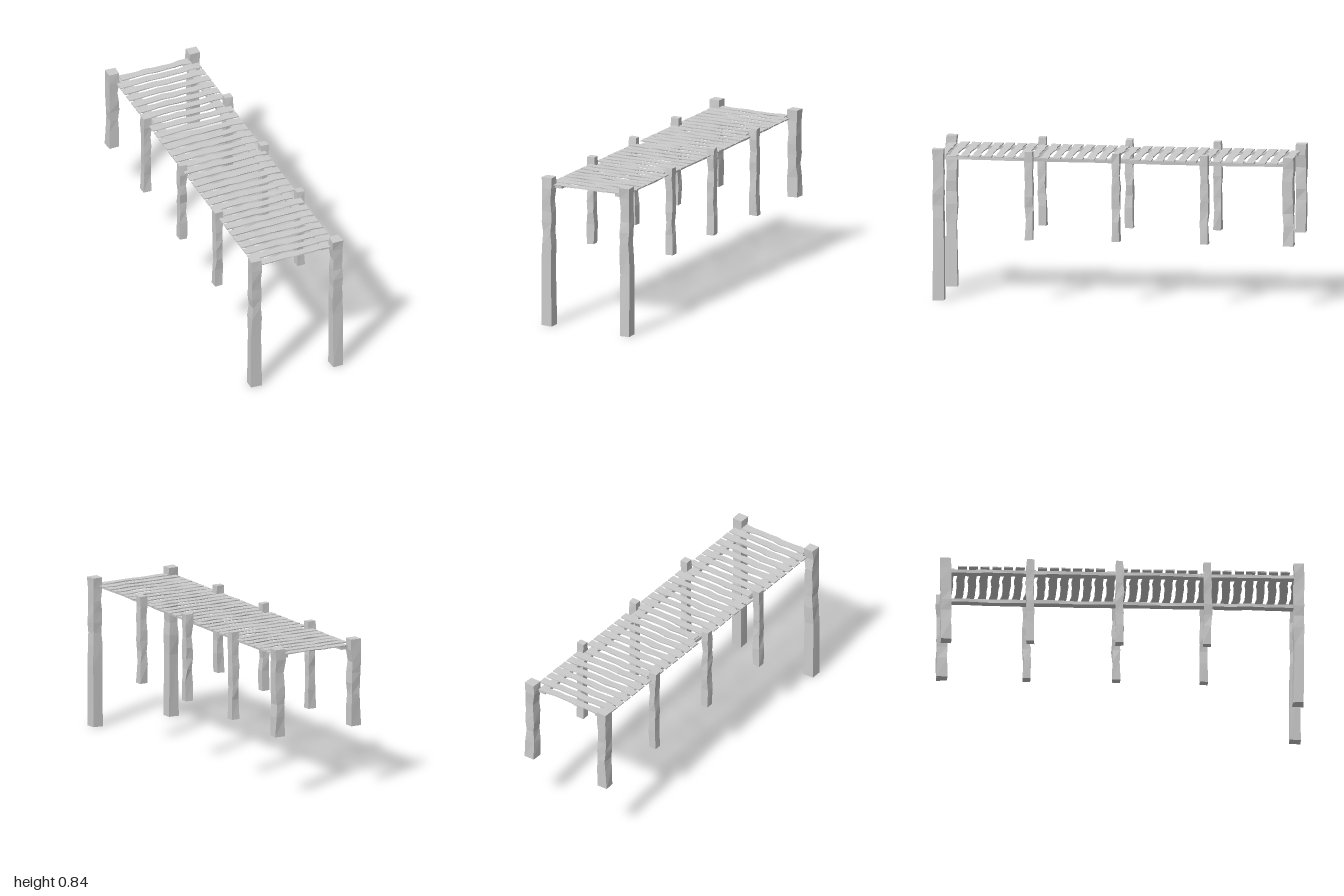
import * as THREE from 'three';

const wood = new THREE.MeshStandardMaterial({ color: 0xcccccc, flatShading: true });

// small repeatable noise in -1..1
function noise(a, b = 0) {
  const s = Math.sin(a * 127.1 + b * 311.7) * 43758.5453;
  return (s - Math.floor(s)) * 2 - 1;
}

// Four-sided hewn bar along 'x', 'y' or 'z'.
// stations: [t, uMin, uMax, vMin, vMax], with u and v the next two axes in cyclic order.
function hewnBar(name, axis, stations, jitter, seed) {
  const a = 'xyz'.indexOf(axis), pos = [], idx = [];
  stations.forEach(([t, u0, u1, v0, v1], i) => {
    [[u0, v0], [u1, v0], [u1, v1], [u0, v1]].forEach(([u, v], k) => {
      const p = [0, 0, 0];
      p[a] = t + noise(seed + i, k) * jitter * 0.5;
      p[(a + 1) % 3] = u + noise(seed + i, k + 10) * jitter;
      p[(a + 2) % 3] = v + noise(seed + i, k + 20) * jitter;
      pos.push(...p);
    });
  });
  const n = stations.length;
  for (let i = 0; i < n - 1; i++) {
    for (let k = 0; k < 4; k++) {
      const p = i * 4 + k, q = i * 4 + (k + 1) % 4;
      idx.push(p, q, q + 4, p, q + 4, p + 4);
    }
  }
  const e = (n - 1) * 4;
  idx.push(0, 2, 1, 0, 3, 2, e, e + 1, e + 2, e, e + 2, e + 3);
  let geo = new THREE.BufferGeometry();
  geo.setAttribute('position', new THREE.Float32BufferAttribute(pos, 3));
  geo.setIndex(idx);
  geo = geo.toNonIndexed();
  geo.computeVertexNormals();
  const mesh = new THREE.Mesh(geo, wood);
  mesh.name = name;
  return mesh;
}

// post profile, bottom to top: height, inset of inner face, inset of outer face
const POST = [
  [0.35, 0.002, 0.000], [0.46, 0.000, 0.002], [0.53, 0.007, 0.008], [0.59, 0.002, 0.002],
  [0.65, 0.004, 0.004], [0.71, 0.009, 0.002], [0.78, 0.000, 0.002], [0.84, 0.000, 0.001],
];

function post(name, side, cx, cz, width, foot, seed) {
  const h = width / 2, s = width / 0.062;
  const rings = foot < 0.3 ? [[foot, 0.002, 0.000], ...POST] : POST;
  const stations = rings.map(([y, inner, outer], i) => {
    const x0 = -h + s * (side > 0 ? inner : outer);
    const x1 = h - s * (side > 0 ? outer : inner);
    const dz = noise(seed, i) * 0.003;
    const zin = i % 2 ? 0.003 : 0.001;
    return [y, cz - h + zin + dz, cz + h - zin + dz, side * cx + x0, side * cx + x1];
  });
  return hewnBar(name, 'y', stations, 0.003, seed);
}

export function createModel() {
  const group = new THREE.Group();

  // posts: tall pair at the front, short pair at the back, slim pairs between
  for (const side of [1, -1]) {
    const label = side > 0 ? 'left' : 'right';
    group.add(post(label + 'FrontPost', side, 0.242, 0.967, 0.062, 0.004, 11 + side));
    group.add(post(label + 'BackPost', side, 0.242, -0.967, 0.062, 0.35, 31 + side));
    [0.467, -0.015, -0.503].forEach((z, i) => {
      group.add(post(label + 'MiddlePost' + (i + 1), side, 0.244, z, 0.046, 0.35, 51 + i * 9 + side));
    });

    // long rail under the planks
    const rail = [];
    for (let i = 0; i <= 16; i++) {
      const w = noise(i, side) * 0.004;
      const c = side * 0.189 + w;
      rail.push([-0.955 + i * 1.91 / 16, c - 0.023, c + 0.023, 0.778, 0.797]);
    }
    group.add(hewnBar(label + 'Rail', 'z', rail, 0.002, 90 + side));
  }

  // planks: wavy edges, shortened where they pass between posts
  const deck = new THREE.Group();
  deck.name = 'deck';
  const SHORT = [0, 7, 14, 22, 30];
  const BACK = [0.025, 0.023, 0.021, 0.024, 0.020, 0.022, 0.018, 0.023, 0.025];
  const FRONT = [0.025, 0.024, 0.020, 0.022, 0.024, 0.018, 0.022, 0.021, 0.025];
  const SWAY = [0, 0.001, 0.001, -0.002, 0.001, 0.004, 0.001, -0.002, 0];
  for (let i = 0; i < 31; i++) {
    const half = SHORT.includes(i) ? 0.205 : 0.244;
    const z = -0.94 + i * 0.0632;
    const tilt = noise(i, 5) * 0.003;
    const stations = BACK.map((b, k) => {
      const t = k / 4 - 1;
      const c = z + SWAY[k] + tilt * t;
      return [t * half, 0.7975, 0.8035, c - b, c + FRONT[k]];
    });
    deck.add(hewnBar('plank' + (i + 1), 'x', stations, 0.0012, 200 + i * 13));
  }
  group.add(deck);
  return group;
}
